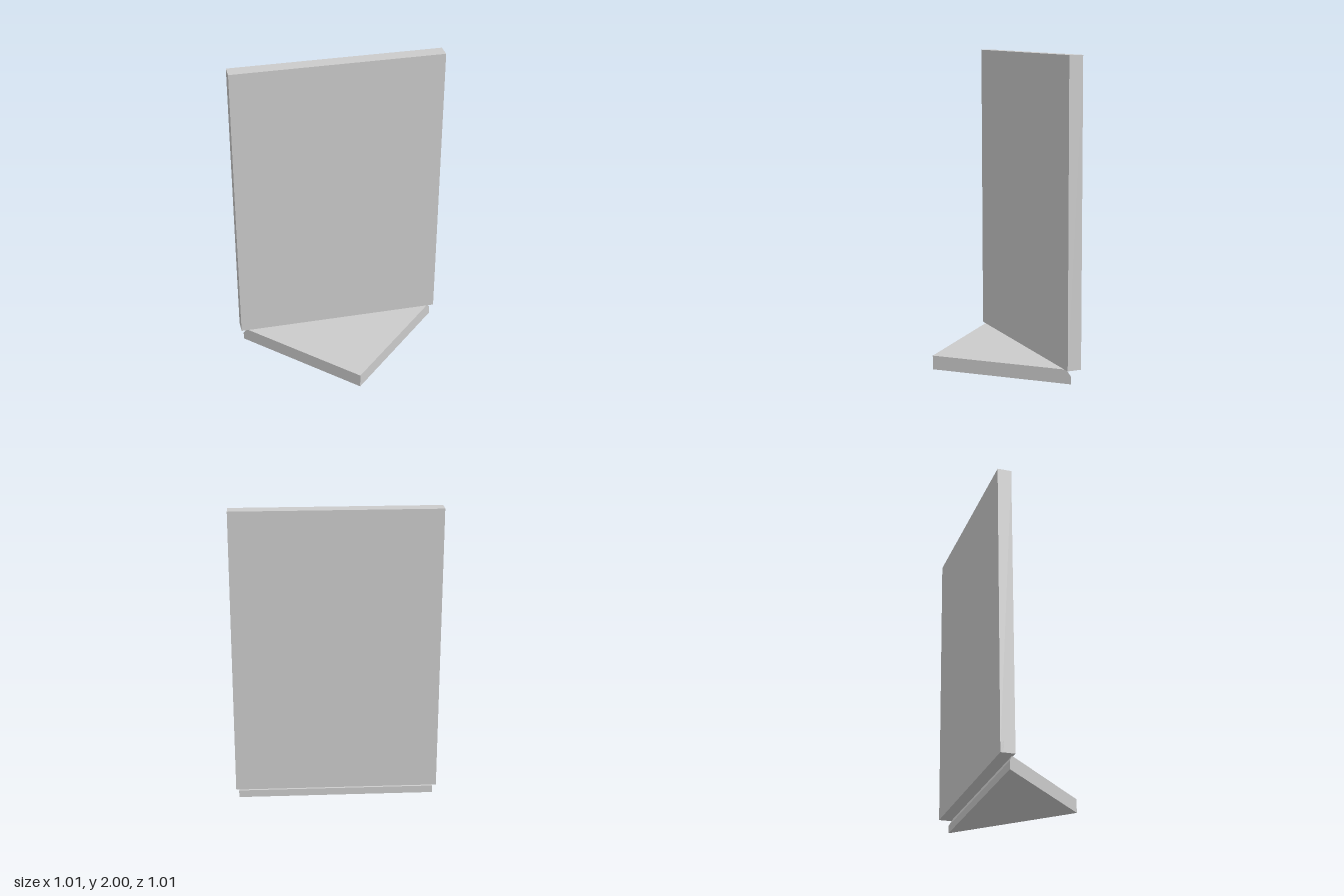
import * as THREE from 'three';
import { ConvexGeometry } from 'three/addons/geometries/ConvexGeometry.js';

const HALF = 0.672; // half the panel width
const BOTTOM = 0.09; // underside of panel, top of base

function addPart(parent, name, geometry) {
  const material = new THREE.MeshStandardMaterial({ color: 0xcccccc, flatShading: true });
  const mesh = new THREE.Mesh(geometry, material);
  mesh.name = name;
  parent.add(mesh);
  return mesh;
}

export function createModel() {
  const model = new THREE.Group();
  model.name = 'cornerPanel';

  // Everything is built square to the panel, then turned across the corner
  const body = new THREE.Group();
  body.name = 'panelBody';
  body.rotation.y = Math.PI / 4;
  model.add(body);

  // Upright panel
  const panel = addPart(body, 'panel', new THREE.BoxGeometry(HALF * 2, 2 - BOTTOM, 0.091));
  panel.position.set(0, (2 + BOTTOM) / 2, -0.0105);

  // Trim strip with a bevelled top, along the foot of the panel
  const profile = new THREE.Shape([
    [-0.034, BOTTOM], [-0.052, BOTTOM], [-0.052, 0.14], [-0.041, 0.155], [-0.038, 0.163], [-0.034, 0.163],
  ].map(([x, y]) => new THREE.Vector2(x, y)));
  const trim = addPart(body, 'trim', new THREE.ExtrudeGeometry(profile, { depth: HALF * 2, bevelEnabled: false }));
  trim.rotation.y = -Math.PI / 2;
  trim.position.x = HALF;

  // Triangular base, its upper rear edge bevelled under the panel
  const apex = 0.66;
  const points = [];
  for (const [y, back] of [[0, 0.005], [0.05, 0.005], [BOTTOM, 0.026]]) {
    const half = apex - back;
    points.push(
      new THREE.Vector3(-half, y, back),
      new THREE.Vector3(half, y, back),
      new THREE.Vector3(0, y, apex),
    );
  }
  addPart(body, 'base', new ConvexGeometry(points));

  return model;
}
